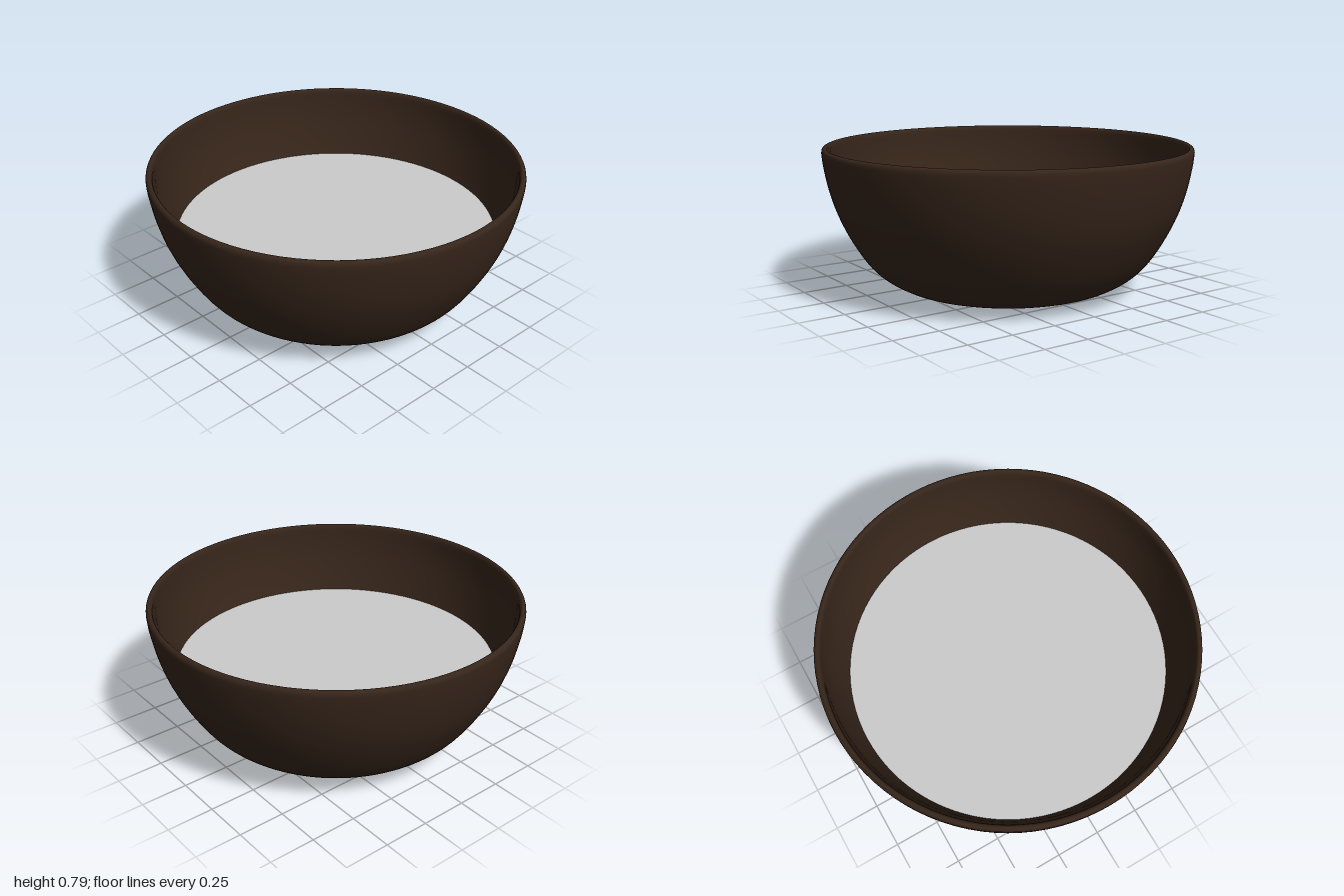
import * as THREE from 'three';

const SEGMENTS = 96;

// Smooth curve through a few [radius, height] points
function curve(points, divisions) {
  return new THREE.SplineCurve(points.map(([x, y]) => new THREE.Vector2(x, y))).getPoints(divisions);
}

export function createModel() {
  const model = new THREE.Group();
  model.name = 'filledBowl';

  // Bowl wall: up the outside, over the rounded rim, down the inside
  const outside = curve([
    [0.42, 0], [0.55, 0.024], [0.63, 0.055], [0.715, 0.11], [0.79, 0.19],
    [0.87, 0.32], [0.93, 0.45], [0.97, 0.58], [0.993, 0.7], [1, 0.765],
  ], 32);
  const rim = curve([[1, 0.765], [0.997, 0.782], [0.985, 0.792], [0.972, 0.788], [0.965, 0.77]], 10);
  const inside = curve([
    [0.965, 0.77], [0.955, 0.68], [0.93, 0.57], [0.87, 0.4], [0.8, 0.27],
    [0.7, 0.15], [0.56, 0.075], [0.42, 0.05],
  ], 28);
  const profile = [
    new THREE.Vector2(0, 0), ...outside, ...rim.slice(1), ...inside.slice(1), new THREE.Vector2(0, 0.05),
  ];
  const bowl = new THREE.Mesh(
    new THREE.LatheGeometry(profile, SEGMENTS),
    new THREE.MeshStandardMaterial({ color: 0x36251a }),
  );
  bowl.name = 'bowl';
  model.add(bowl);

  // Flat surface of the contents, halfway up the inside
  const contents = new THREE.Mesh(
    new THREE.CircleGeometry(0.872, SEGMENTS).rotateX(-Math.PI / 2),
    new THREE.MeshStandardMaterial({ color: 0xcccccc, side: THREE.DoubleSide }),
  );
  contents.name = 'contentsSurface';
  contents.position.y = 0.4;
  model.add(contents);

  return model;
}
